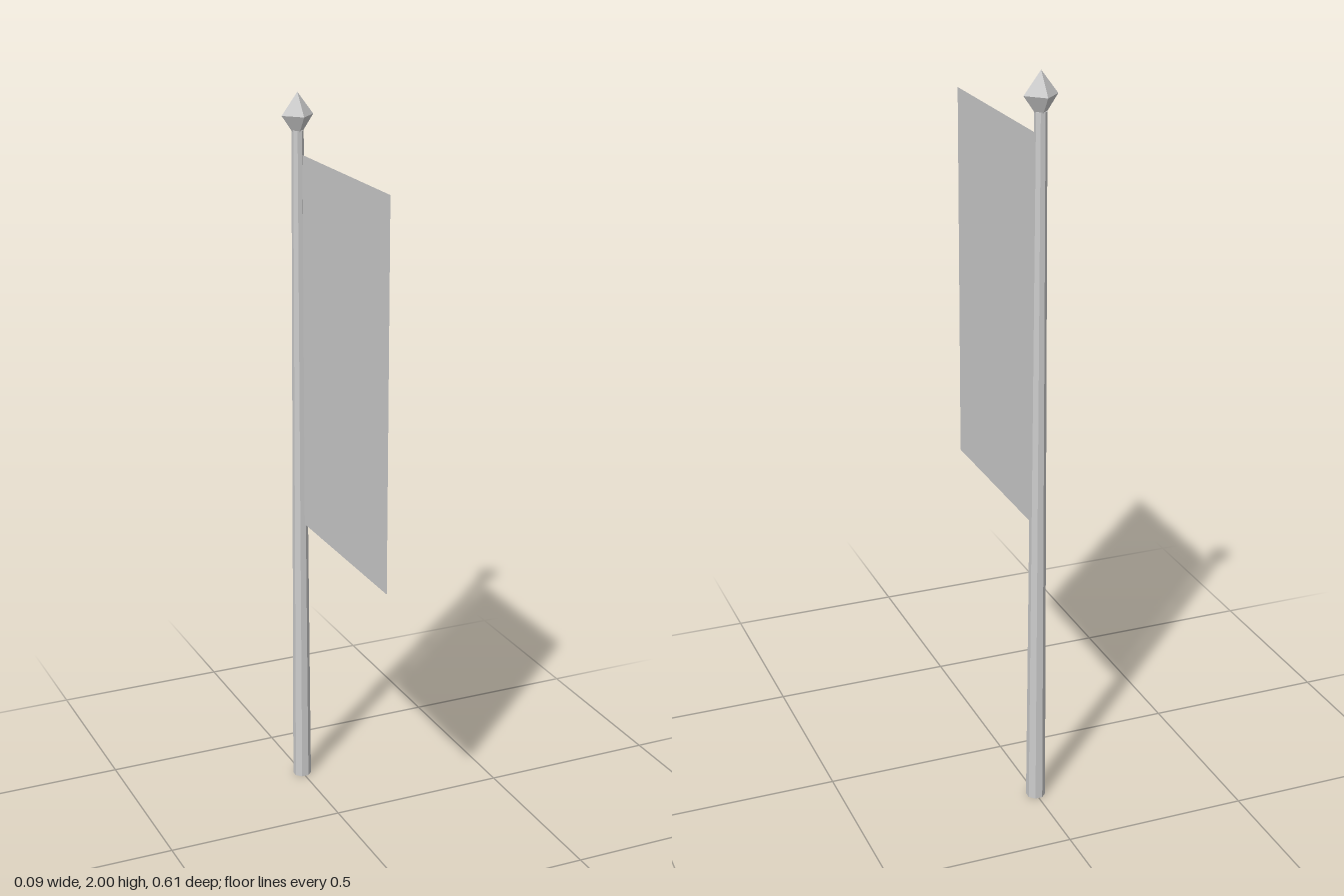
import * as THREE from 'three';

export function createModel() {
  const model = new THREE.Group();
  const grey = new THREE.MeshStandardMaterial({ color: 0xcccccc, flatShading: true, side: THREE.DoubleSide });
  grey.name = 'plainGrey';
  const poleZ = -0.262;

  function add(name, geometry, x, y, z) {
    const mesh = new THREE.Mesh(geometry, grey);
    mesh.name = name;
    mesh.position.set(x, y, z);
    model.add(mesh);
    return mesh;
  }

  // Tapered eight-sided pole with flat sides facing the axes
  const poleGeometry = new THREE.CylinderGeometry(0.016, 0.026, 1.9, 8);
  poleGeometry.rotateY(Math.PI / 8);
  add('pole', poleGeometry, 0, 0.95, poleZ);

  // Four-sided spear tip: lower flare and upper point
  const tip = [[0.014, 1.895], [0.045, 1.94], [0, 2]].map(([r, y]) => new THREE.Vector2(r, y));
  add('finial', new THREE.LatheGeometry(tip, 4), 0, 0, poleZ);

  // Flat banner hanging forward of the pole
  const bannerGeometry = new THREE.PlaneGeometry(0.537, 1.04);
  bannerGeometry.rotateY(Math.PI / 2);
  add('banner', bannerGeometry, 0, 1.32, 0.0385);

  return model;
}
